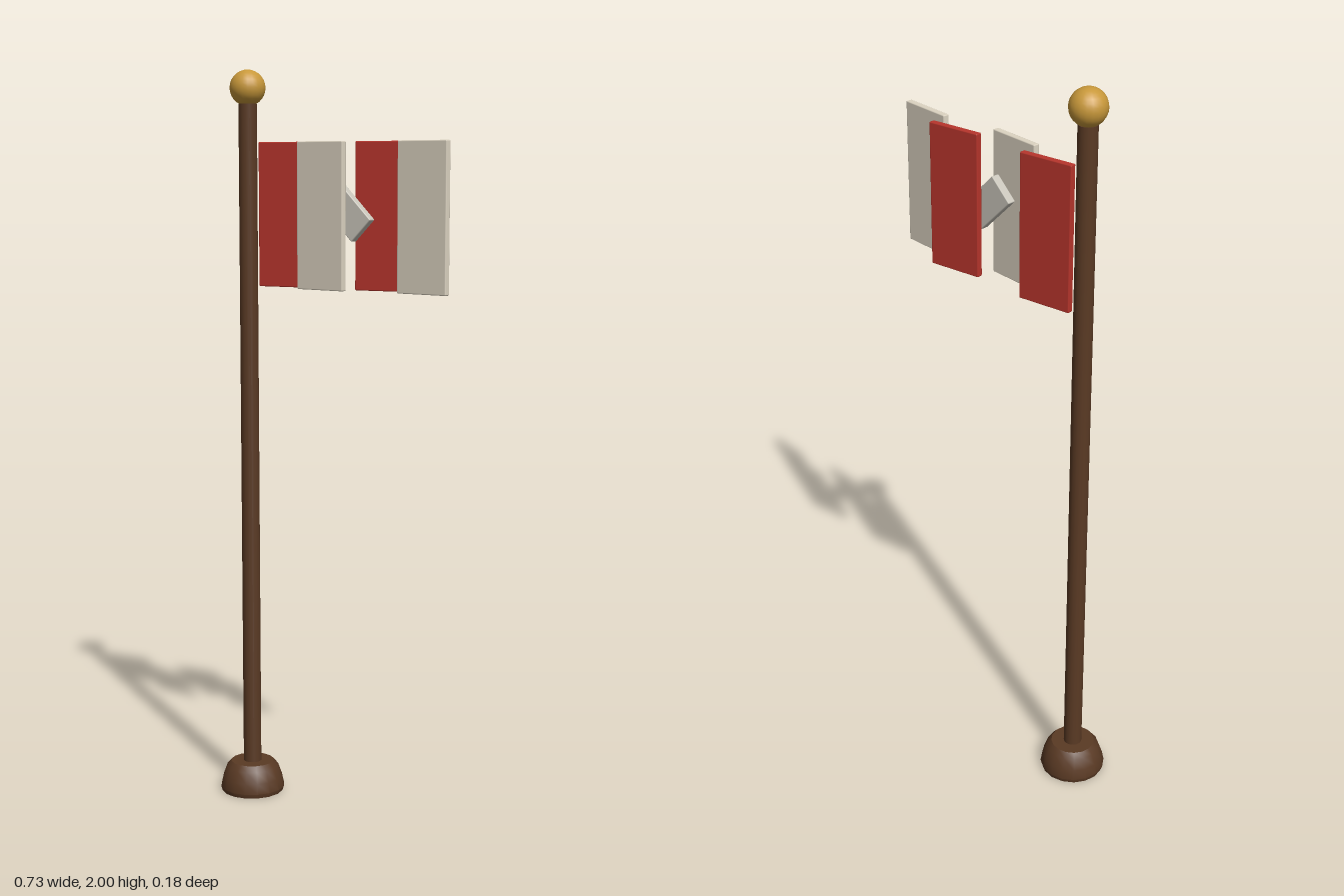
import * as THREE from 'three';
import { RoundedBoxGeometry } from 'three/addons/geometries/RoundedBoxGeometry.js';
import { toCreasedNormals } from 'three/addons/utils/BufferGeometryUtils.js';

const POLE_X = -0.275;
const material = (color) => new THREE.MeshStandardMaterial({ color });

export function createModel() {
  const group = new THREE.Group();
  const wood = material(0x5a3a24);
  const gold = material(0xc8983a);
  const red = material(0xb8352c);
  const cream = material(0xddd4c2);
  const silver = material(0xc9c5ba);

  const add = (name, geometry, mat, x, y, z) => {
    const mesh = new THREE.Mesh(geometry, mat);
    mesh.name = name;
    mesh.position.set(x, y, z);
    group.add(mesh);
    return mesh;
  };

  // Domed foot, closed underneath
  const profile = [
    [0, 0], [0.086, 0], [0.09, 0.012], [0.084, 0.04], [0.073, 0.07], [0.06, 0.085], [0, 0.085],
  ].map(([r, y]) => new THREE.Vector2(r, y));
  add('base', toCreasedNormals(new THREE.LatheGeometry(profile, 16), 0.65), wood, POLE_X, 0, 0);

  // Pole and ball on top
  add('pole', new THREE.CylinderGeometry(0.025, 0.025, 1.85, 16), wood, POLE_X, 0.985, 0);
  add('finial', new THREE.SphereGeometry(0.048, 20, 14), gold, POLE_X, 1.952, 0);

  // Four stiff banner panels, alternating in colour, depth and angle
  const panel = new RoundedBoxGeometry(0.152, 0.385, 0.018, 1, 0.003);
  for (let i = 0; i < 4; i++) {
    const side = i % 2 ? 1 : -1;
    const mesh = add(`bannerPanel${i + 1}`, panel, i % 2 ? cream : red, -0.175 + i * 0.1537, 1.617, side * 0.028);
    mesh.rotation.y = -side * 0.1;
  }

  // Tilted block between the panels
  const emblem = add('emblem', new RoundedBoxGeometry(0.137, 0.082, 0.024, 1, 0.003), silver, 0.0415, 1.628, 0);
  emblem.rotation.z = -Math.PI / 4;

  return group;
}
